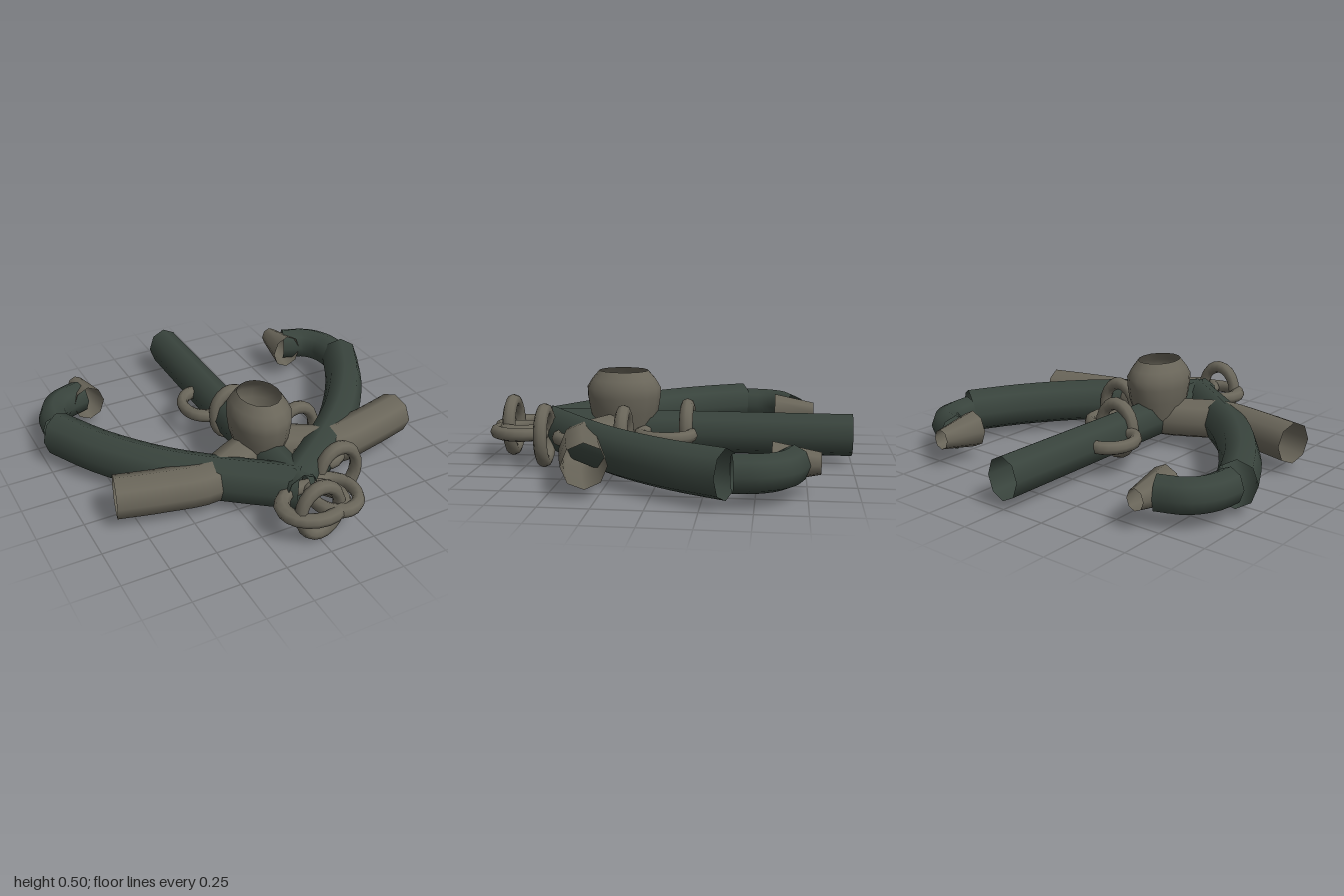
import * as THREE from 'three';

const AXIS_Y = 0.167;

export function createModel() {
  const green = new THREE.MeshStandardMaterial({ color: 0x39443d, side: THREE.DoubleSide });
  green.name = 'dark green iron';
  const stone = new THREE.MeshStandardMaterial({ color: 0x6a665a, side: THREE.DoubleSide });
  stone.name = 'weathered grey brown';

  const root = new THREE.Group();
  root.name = 'anchor';

  const add = (name, geometry, material, x = 0, y = 0, z = 0) => {
    const mesh = new THREE.Mesh(geometry, material);
    mesh.name = name;
    mesh.position.set(x, y, z);
    root.add(mesh);
    return mesh;
  };

  // Open eight-sided tube through [x, z] points, with its own half width and half height
  const pipe = (name, points, width, height, segments, material) => {
    const curve = new THREE.CatmullRomCurve3(points.map(([x, z]) => new THREE.Vector3(x, 0, z)));
    const mesh = add(name, new THREE.TubeGeometry(curve, segments, width, 8), material, 0, AXIS_Y, 0);
    mesh.scale.y = height / width;
    return mesh;
  };

  // Straight shank
  pipe('shank', [[0, -1], [0, -0.15], [0, 0.72]], 0.096, 0.116, 2, green);

  // Cross bar with swept ends
  const half = [[0.845, 0.305], [0.6, 0.368], [0.36, 0.405], [0.15, 0.31]];
  pipe('crossBar', [...half, [0, 0.255], ...half.map(([x, z]) => [-x, z]).reverse()],
    0.113, 0.114, 28, stone);

  for (const s of [1, -1]) {
    const side = s > 0 ? 'left' : 'right';
    const mirror = (points) => points.map(([x, z]) => [s * x, z]);

    // Curved arm
    pipe(side + 'Arm', mirror([[-0.02, 0.66], [0.34, 0.38], [0.555, 0.18], [0.77, -0.1], [0.915, -0.37]]),
      0.107, 0.125, 14, green);

    // Hooked tip
    pipe(side + 'Hook', mirror([[0.9, -0.395], [0.88, -0.53], [0.815, -0.625], [0.68, -0.68]]),
      0.086, 0.095, 10, green);

    // Tapered barb
    const cone = new THREE.CylinderGeometry(0.09, 0.048, 0.235, 8, 1, true);
    cone.rotateX(Math.PI / 2);
    const barb = add(side + 'Barb', cone, stone, s * 0.656, AXIS_Y, -0.693);
    barb.scale.y = 1.15;
  }

  // Hollow oval bollard
  const profile = [[0.15, 0.17], [0.19, 0.28], [0.203, 0.36], [0.205, 0.41], [0.178, 0.455], [0.136, 0.503]]
    .map(([r, y]) => new THREE.Vector2(r, y));
  const bollard = add('bollard', new THREE.LatheGeometry(profile, 16), stone, 0, 0, 0.25);
  bollard.scale.x = 0.8;

  // Chain of alternating upright and flat links
  const ring = new THREE.TorusGeometry(0.137, 0.037, 8, 20);
  const upright = [[0, 0.88], [0.255, 0.64], [0.255, 0.213], [0.02, -0.105]];
  upright.forEach(([x, z], i) => {
    add('uprightLink' + (i + 1), ring, stone, x, 0.181, z).scale.x = 0.8;
  });
  const flat = [[0, 0.81, 1.15], [0.13, 0.8, 0.84], [0.26, 0.425, 0.82], [0.14, 0.003, 0.84], [-0.08, -0.265, 0.84]];
  flat.forEach(([x, z, width], i) => {
    const link = add('flatLink' + (i + 1), ring, stone, x, 0.175, z);
    link.rotation.x = Math.PI / 2;
    link.scale.x = width;
  });

  return root;
}
